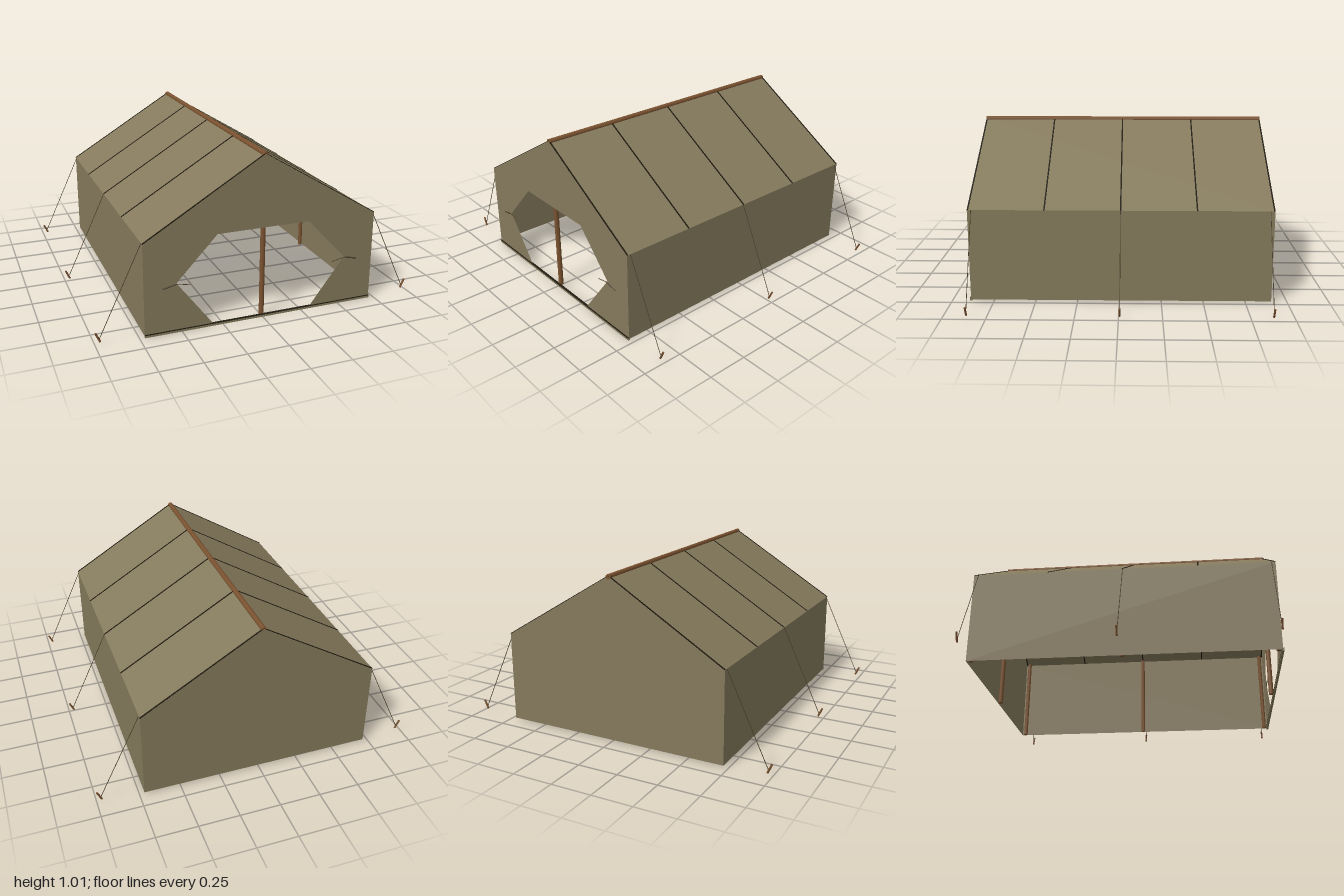
import * as THREE from 'three';

const W = 0.72, EAVE = 0.565, RIDGE = 1.0, BASE = 0.01;
const FRONT = 0.888, BACK = -0.904, MID = (FRONT + BACK) / 2;

const material = (name, color, extra = {}) => {
  const m = new THREE.MeshStandardMaterial({ color, ...extra });
  m.name = name;
  return m;
};

export function createModel() {
  const tent = new THREE.Group();
  tent.name = 'tent';
  const canvas = material('canvas', 0x857a5c, { side: THREE.DoubleSide });
  const wood = material('wood', 0x7a5230);
  const seamDark = material('seamDark', 0x1f1a10);
  const rope = material('rope', 0x4a3f2a);

  const add = (name, geometry, mat) => {
    const mesh = new THREE.Mesh(geometry, mat);
    mesh.name = name;
    tent.add(mesh);
    return mesh;
  };
  // Round bar between two points
  const bar = (name, a, b, radius, mat, sides = 8) => {
    const from = new THREE.Vector3(...a), to = new THREE.Vector3(...b);
    const dir = to.clone().sub(from);
    const mesh = add(name, new THREE.CylinderGeometry(radius, radius, dir.length(), sides), mat);
    mesh.position.copy(from).add(to).multiplyScalar(0.5);
    mesh.quaternion.setFromUnitVectors(new THREE.Vector3(0, 1, 0), dir.normalize());
    return mesh;
  };
  const panel = (name, points, z) => {
    const shape = new THREE.Shape(points.map(p => new THREE.Vector2(...p)));
    const mesh = add(name, new THREE.ShapeGeometry(shape), canvas);
    mesh.position.z = z;
    return mesh;
  };

  // End walls: closed back, front gable with tied-back flaps
  const gable = [[W, EAVE], [0, RIDGE], [-W, EAVE]];
  panel('backWall', [[-W, BASE], [W, BASE], ...gable], BACK).rotation.y = Math.PI;
  panel('frontGable', gable, FRONT);
  for (const s of [-1, 1]) {
    const flap = [[0.285, EAVE], [0.53, 0.305], [0.31, 0.015], [W, BASE], [W, EAVE]];
    if (s < 0) flap.reverse();
    panel('doorFlap', flap.map(([x, y]) => [s * x, y]), FRONT);
    // Flap tie
    bar('flapTie', [s * 0.61, 0.285, 0.893], [s * 0.53, 0.305, 0.897], 0.004, rope, 6);
    bar('flapTieEnd', [s * 0.53, 0.305, 0.897], [s * 0.45, 0.285, 0.891], 0.002, rope, 6);
  }
  const sill = add('doorSill', new THREE.BoxGeometry(2 * W, 0.016, 0.012), canvas);
  sill.position.set(0, 0.01, FRONT);
  const sillSeam = add('sillSeam', new THREE.BoxGeometry(2 * W, 0.003, 0.014), seamDark);
  sillSeam.position.set(0, 0.017, FRONT);

  // Sides and roof
  const slope = Math.hypot(W, RIDGE - EAVE), pitch = Math.atan2(RIDGE - EAVE, W);
  for (const s of [-1, 1]) {
    const wall = add('sideWall', new THREE.PlaneGeometry(FRONT - BACK, EAVE - BASE), canvas);
    wall.rotation.y = s * Math.PI / 2;
    wall.position.set(s * W, (EAVE + BASE) / 2, MID);

    const roof = new THREE.Group();
    roof.name = 'roofSide';
    roof.position.set(s * W / 2, (EAVE + RIDGE) / 2, MID);
    roof.rotation.z = -s * pitch;
    tent.add(roof);
    const sheet = add('roofSheet', new THREE.PlaneGeometry(slope, FRONT - BACK).rotateX(-Math.PI / 2), canvas);
    roof.add(sheet);
    // Seams across the roof
    for (let i = 0; i < 5; i++) {
      const seam = add('roofSeam', new THREE.BoxGeometry(slope, 0.004, 0.008), seamDark);
      seam.position.set(0, 0.001, (FRONT - BACK - 0.008) * (i / 4 - 0.5));
      roof.add(seam);
    }

    // Wall poles, guy ropes and stakes
    for (const z of [0.865, -0.007, -0.878]) {
      bar('wallPole', [s * 0.704, BASE, z], [s * 0.704, EAVE, z], 0.013, wood);
      bar('guyRope', [s * W, EAVE, z], [s * 0.974, 0.03, z], 0.002, rope, 6);
      bar('stake', [s * 0.968, 0.015, z], [s * 0.993, 0.07, z], 0.006, wood);
    }
  }

  // Ridge pole and the uprights that carry it
  bar('ridgePole', [0, 0.995, BACK], [0, 0.995, FRONT], 0.016, wood, 10);
  for (const z of [0.87, -0.886]) bar('ridgeUpright', [0, BASE, z], [0, 0.99, z], 0.015, wood, 10);

  return tent;
}
